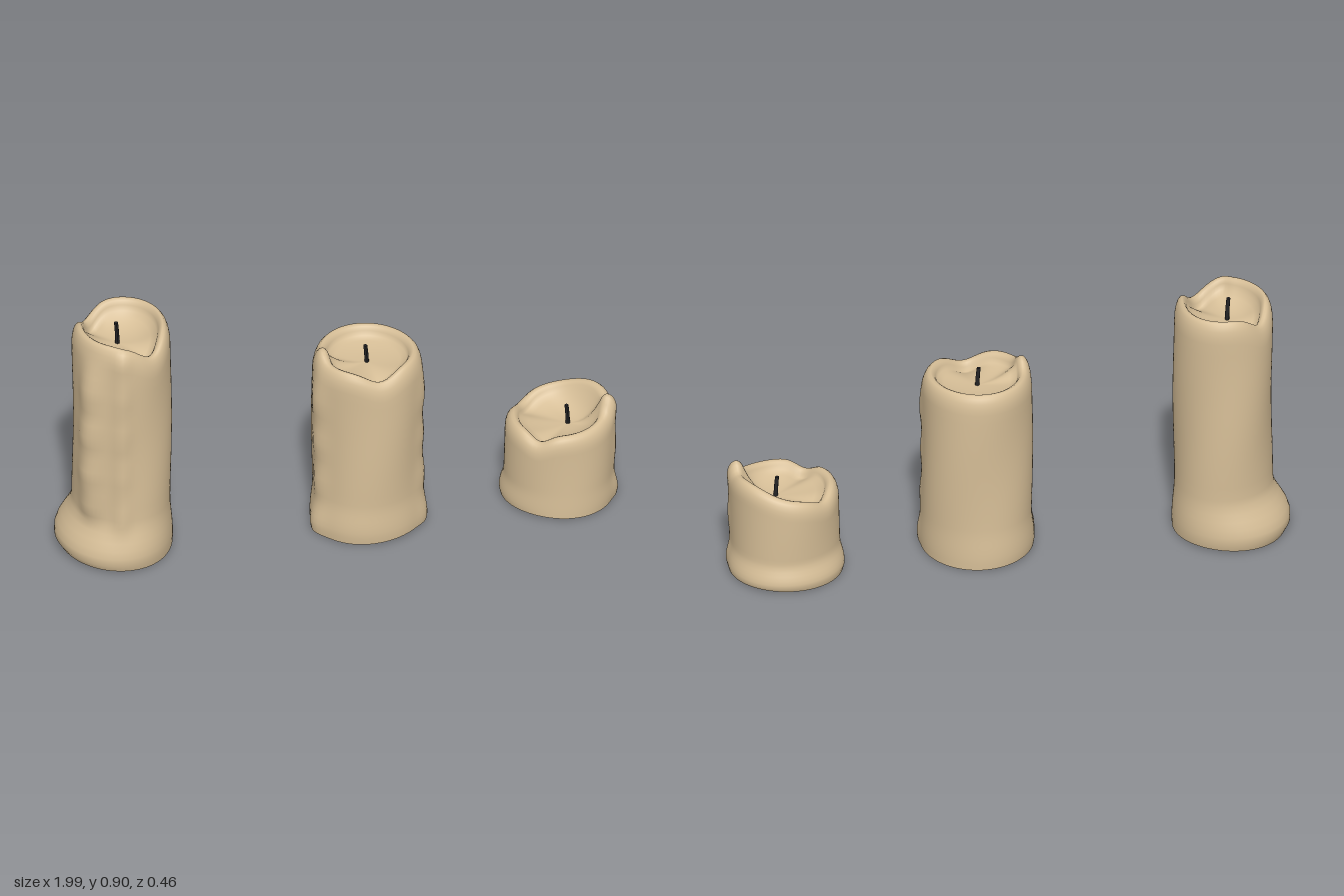
import * as THREE from 'three';

const wax = new THREE.MeshStandardMaterial({ color: 0xd6be97, side: THREE.DoubleSide });
wax.name = 'wax';
const char = new THREE.MeshStandardMaterial({ color: 0x232325 });
char.name = 'charredWick';

const SEG = 80;
const FOOT_ROWS = 8;
const BODY_ROWS = 12;
const LIP_ROWS = 9;
const BASIN_ROWS = 6;
const { smoothstep, degToRad } = THREE.MathUtils;

// Bell-shaped falloff around an angle in degrees
function bell(deg, centre, width) {
  const d = ((deg - centre + 540) % 360) - 180;
  return Math.exp(-(d * d) / (width * width));
}

// Wall radius: oval section, slight waviness, drips running down the side
function wallRadius(c, deg, y) {
  const a = degToRad(deg);
  let r = Math.hypot(c.rx * Math.cos(a), c.rz * Math.sin(a)) + 0.003 * Math.sin(3 * a + 9 * y + c.x * 5);
  for (const d of c.drips) {
    const fade = smoothstep(y, d.from, d.from + 0.1) * (1 - smoothstep(y, d.to - 0.1, d.to));
    r += d.size * fade * (1 + 0.25 * Math.sin(y * 38)) * bell(deg, d.at, d.width);
  }
  return r;
}

// One vertical section: flared foot, wall, rounded lip, basin; entries are [radius, y, pull toward wick]
function section(c, deg) {
  const a = degToRad(deg);
  const rim = c.rim + c.rimBumps.reduce((sum, b) => sum + b.height * bell(deg, b.at, b.width), 0);
  const flare = c.flare + c.flareLean * Math.cos(degToRad(deg - c.flareAt));
  const column = [];
  for (let i = 0; i < FOOT_ROWS; i++) {
    const u = i / (FOOT_ROWS - 1);
    const f = (1 - smoothstep(u, 0.22, 1)) * (0.75 + 0.25 * smoothstep(u, 0, 0.14));
    const uneven = i === 0 ? 0.004 * Math.sin(2 * a + c.x * 4) : 0;
    const y = 0.01 + u * c.footHeight;
    column.push([wallRadius(c, deg, y) + flare * f, y + uneven, 0]);
  }
  const yLow = 0.01 + c.footHeight;
  const yHigh = rim - c.lip;
  for (let i = 1; i <= BODY_ROWS; i++) {
    const y = yLow + ((yHigh - yLow) * i) / (BODY_ROWS + 1);
    column.push([wallRadius(c, deg, y), y, 0]);
  }
  for (let i = 0; i < LIP_ROWS; i++) {
    const t = degToRad((150 * i) / (LIP_ROWS - 1));
    const y = rim - c.lip * (1 - Math.sin(t));
    column.push([wallRadius(c, deg, y) * (0.85 + 0.15 * Math.cos(t)), y, 0]);
  }
  const [edgeR, edgeY] = column[column.length - 1];
  for (let i = 1; i <= BASIN_ROWS; i++) {
    const m = i / BASIN_ROWS;
    column.push([edgeR * (1 - 0.98 * m), c.floor + (edgeY - c.floor) * (1 - m) ** 2.5, m]);
  }
  return column;
}

// Melted wax skin made from the sections around the axis, open underneath
function waxGeometry(c) {
  const rows = FOOT_ROWS + BODY_ROWS + LIP_ROWS + BASIN_ROWS;
  const pos = [];
  const index = [];
  for (let j = 0; j < SEG; j++) {
    const deg = (j / SEG) * 360;
    const a = degToRad(deg);
    for (const [r, y, m] of section(c, deg)) {
      pos.push(c.x + c.wickShift * m + r * Math.cos(a), y, c.z + r * Math.sin(a));
    }
    const next = ((j + 1) % SEG) * rows;
    for (let i = 0; i < rows - 1; i++) {
      const p = j * rows + i;
      const q = next + i;
      index.push(p, p + 1, q, q, p + 1, q + 1);
    }
  }
  const g = new THREE.BufferGeometry();
  g.setAttribute('position', new THREE.Float32BufferAttribute(pos, 3));
  g.setIndex(index);
  g.computeVertexNormals();
  return g;
}

// Short, slightly bent wick
function wickGeometry(c) {
  const bottom = c.floor - 0.015;
  const h = c.wickTop - bottom;
  const g = new THREE.CylinderGeometry(0.007, 0.008, h, 8, 6);
  const p = g.attributes.position;
  for (let i = 0; i < p.count; i++) {
    const t = p.getY(i) / h + 0.5;
    p.setX(i, p.getX(i) - 0.005 * t * t);
  }
  g.translate(c.x + c.wickShift, bottom + h / 2, c.z);
  g.computeVertexNormals();
  return g;
}

function candle(name, c) {
  const group = new THREE.Group();
  group.name = name;
  const body = new THREE.Mesh(waxGeometry(c), wax);
  body.name = 'waxBody';
  const wick = new THREE.Mesh(wickGeometry(c), char);
  wick.name = 'wick';
  group.add(body, wick);
  return group;
}

export function createModel() {
  const model = new THREE.Group();
  model.name = 'meltedCandles';

  // Tall candle: wide pooled foot, two dips in the rim, lumpy drip at the front left
  model.add(candle('tallCandle', {
    x: -0.765, z: 0.01, rx: 0.172, rz: 0.189,
    flare: 0.035, flareLean: 0.028, flareAt: 180, footHeight: 0.19,
    rim: 0.908, lip: 0.08, floor: 0.825, wickShift: -0.015, wickTop: 0.91,
    rimBumps: [{ at: 60, width: 25, height: -0.06 }, { at: 225, width: 22, height: -0.05 }],
    drips: [
      { at: 138, width: 16, size: 0.024, from: 0.15, to: 0.86 },
      { at: 100, width: 9, size: 0.012, from: 0.1, to: 0.95 },
    ],
  }));

  // Medium candle: straight wall, front dip and a small peak on the rim
  model.add(candle('mediumCandle', {
    x: 0.105, z: 0.015, rx: 0.192, rz: 0.189,
    flare: 0.008, flareLean: 0.004, flareAt: 140, footHeight: 0.15,
    rim: 0.697, lip: 0.07, floor: 0.645, wickShift: 0, wickTop: 0.713,
    rimBumps: [{ at: 82, width: 24, height: -0.04 }, { at: 172, width: 13, height: 0.036 }],
    drips: [
      { at: 160, width: 13, size: 0.014, from: -0.1, to: 0.68 },
      { at: 22, width: 12, size: 0.012, from: -0.1, to: 0.68 },
    ],
  }));

  // Short candle: high wall on one side with a pointed tip, low wavy rim elsewhere
  model.add(candle('shortCandle', {
    x: 0.793, z: -0.013, rx: 0.191, rz: 0.189,
    flare: 0.013, flareLean: 0.012, flareAt: 270, footHeight: 0.1,
    rim: 0.336, lip: 0.055, floor: 0.285, wickShift: 0.032, wickTop: 0.36,
    rimBumps: [
      { at: 335, width: 55, height: 0.055 },
      { at: 15, width: 9, height: 0.048 },
      { at: 125, width: 16, height: -0.03 },
      { at: 225, width: 20, height: -0.025 },
    ],
    drips: [{ at: 15, width: 8, size: 0.007, from: -0.1, to: 0.5 }],
  }));
  return model;
}
